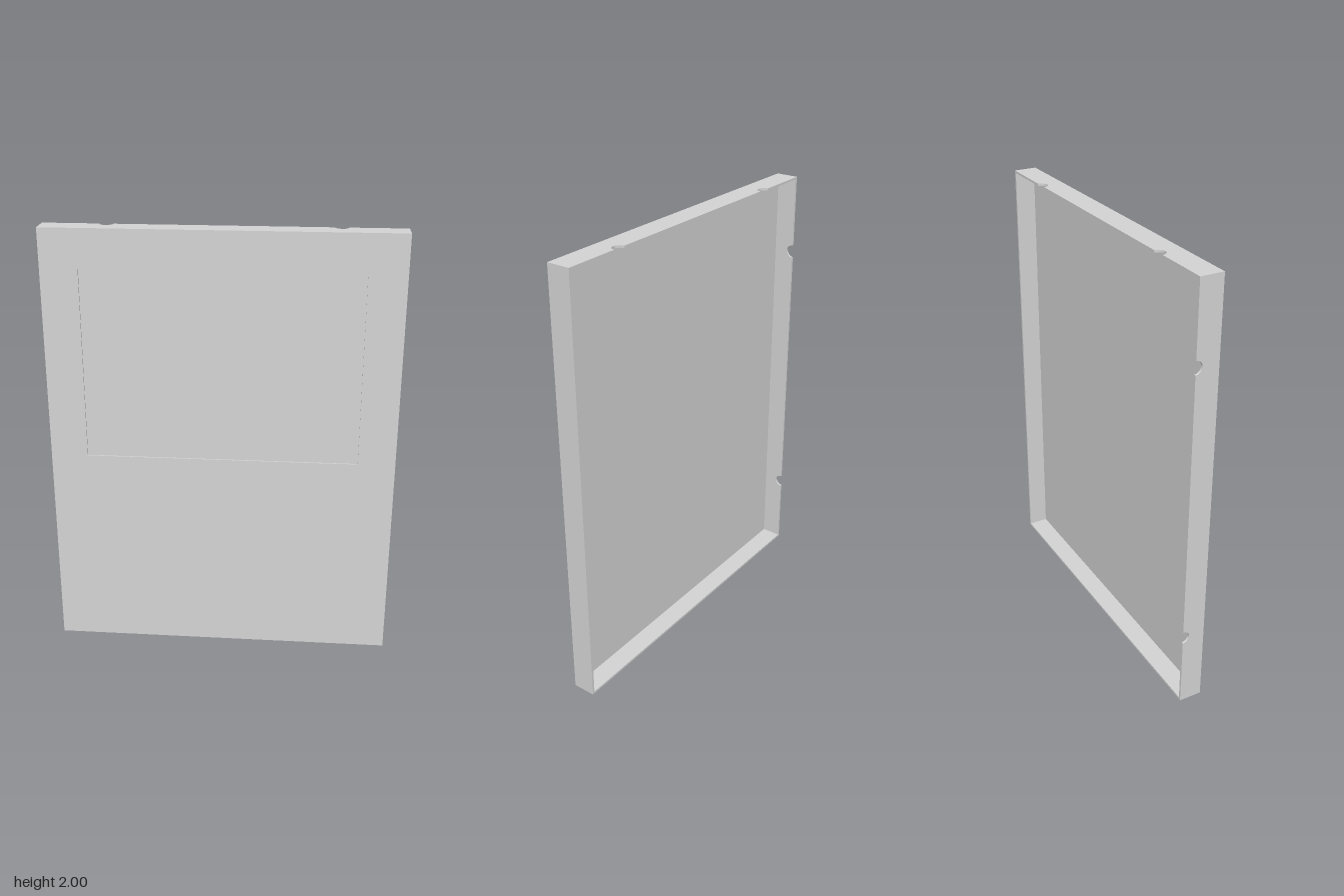
import * as THREE from 'three';

const W = 1.57, H = 2, D = 0.105;       // overall size
const WALL = 0.01;                      // rim thickness
const FACE = 0.0065, BACKING = 0.0055;  // the two layers of the front panel
const NOTCH = 0.03;                     // notch radius
const FRONT = D / 2, RIM_Z = FRONT - FACE - BACKING;

const extrude = (shape, depth) =>
  new THREE.ExtrudeGeometry(shape, { depth, bevelEnabled: false, curveSegments: 16 });

// Rounded rectangle, traced counter-clockwise
function roundedRect(path, x0, y0, x1, y1, r) {
  path.moveTo(x0 + r, y0);
  path.lineTo(x1 - r, y0);
  path.absarc(x1 - r, y0 + r, r, -Math.PI / 2, 0);
  path.absarc(x1 - r, y1 - r, r, 0, Math.PI / 2);
  path.absarc(x0 + r, y1 - r, r, Math.PI / 2, Math.PI);
  path.absarc(x0 + r, y0 + r, r, Math.PI, Math.PI * 1.5);
  return path;
}

// Rim strip along x, reaching back from z = 0, with half-round notches in its rear edge
function rimStrip(length, notches) {
  const depth = RIM_Z + D / 2;
  const s = new THREE.Shape();
  s.moveTo(-length / 2, 0);
  s.lineTo(length / 2, 0);
  s.lineTo(length / 2, depth);
  for (const u of [...notches].sort((a, b) => b - a)) {
    s.lineTo(u + NOTCH, depth);
    s.absarc(u, depth, NOTCH, 0, -Math.PI, true);
  }
  s.lineTo(-length / 2, depth);
  s.closePath();
  return extrude(s, WALL).rotateX(-Math.PI / 2);
}

export function createModel() {
  const group = new THREE.Group();
  const lightGrey = new THREE.MeshStandardMaterial({ color: 0xd5d5d5 });
  lightGrey.name = 'lightGrey';

  const add = (name, geometry, x, y, z) => {
    const mesh = new THREE.Mesh(geometry, lightGrey);
    mesh.name = name;
    mesh.position.set(x, y, z);
    group.add(mesh);
  };

  // Front layer with the window opening, over a solid backing that forms the recess floor
  const face = new THREE.Shape();
  face.moveTo(-W / 2, 0);
  face.lineTo(W / 2, 0);
  face.lineTo(W / 2, H);
  face.lineTo(-W / 2, H);
  face.closePath();
  face.holes.push(roundedRect(new THREE.Path(), -0.617, 0.957, 0.617, 1.833, 0.006));
  add('frontFace', extrude(face, FACE), 0, 0, FRONT - FACE);
  add('panelBacking', new THREE.BoxGeometry(W, H, BACKING), 0, H / 2, RIM_Z + BACKING / 2);

  // Rim: notches in the top and right walls only
  const sideLength = H - 2 * WALL;
  const side = (notches) => rimStrip(sideLength, notches).rotateZ(-Math.PI / 2);
  add('topWall', rimStrip(W, [-0.503, 0.503]), 0, H - WALL, RIM_Z);
  add('bottomWall', rimStrip(W, []), 0, 0, RIM_Z);
  add('rightWall', side([-0.642, 0.642]), -W / 2, H / 2, RIM_Z);
  add('leftWall', side([]), W / 2 - WALL, H / 2, RIM_Z);

  return group;
}
